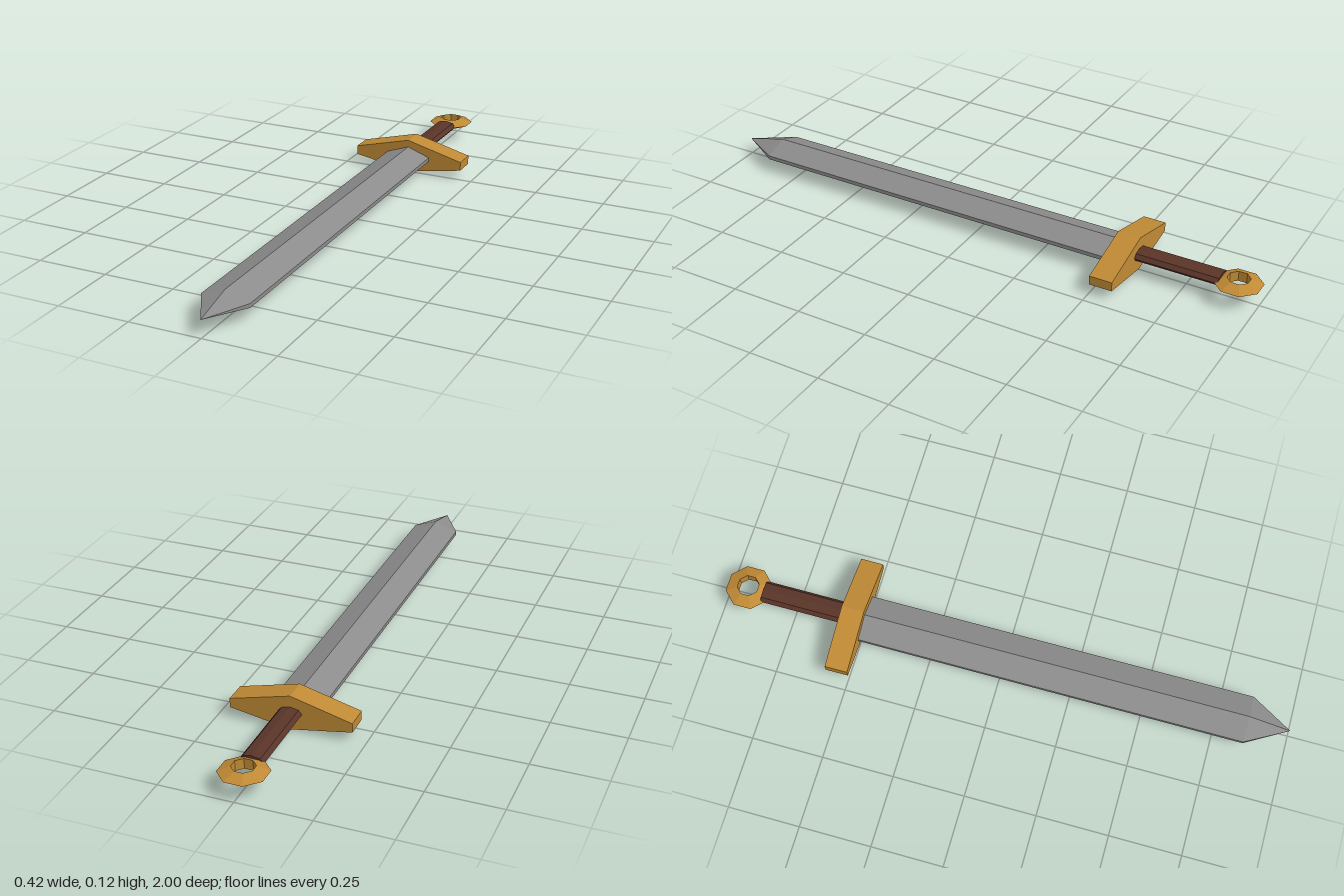
import * as THREE from 'three';

const MID = 0.061; // height of the sword's long axis

function material(color) {
  return new THREE.MeshStandardMaterial({ color, flatShading: true });
}

function addMesh(group, name, geometry, mat) {
  const mesh = new THREE.Mesh(geometry, mat);
  mesh.name = name;
  group.add(mesh);
  return mesh;
}

// Joins equal-length counter-clockwise [x, y] sections, given from back to front, and caps both ends
function loft(sections) {
  const pos = [];
  const tri = (a, b, c) => pos.push(...a, ...b, ...c);
  const rings = sections.map(({ z, points }) => points.map(([x, y]) => [x, y, z]));
  const n = rings[0].length;
  for (let s = 0; s < rings.length - 1; s++) {
    for (let i = 0; i < n; i++) {
      const j = (i + 1) % n;
      const a = rings[s], b = rings[s + 1];
      tri(a[i], a[j], b[j]);
      tri(a[i], b[j], b[i]);
    }
  }
  const back = rings[0], front = rings[rings.length - 1];
  for (let i = 1; i < n - 1; i++) {
    tri(back[0], back[i + 1], back[i]);
    tri(front[0], front[i], front[i + 1]);
  }
  const geometry = new THREE.BufferGeometry();
  geometry.setAttribute('position', new THREE.Float32BufferAttribute(pos, 3));
  geometry.computeVertexNormals();
  return geometry;
}

// Six-sided lozenge with blunt left and right ends
function lozenge(halfWidth, top, bottom, edgeTop, edgeBottom) {
  return [
    [0, top], [-halfWidth, edgeTop], [-halfWidth, edgeBottom],
    [0, bottom], [halfWidth, edgeBottom], [halfWidth, edgeTop],
  ];
}

export function createModel() {
  const sword = new THREE.Group();
  sword.name = 'sword';
  const steel = material(0x8c8c8c);
  const brass = material(0xc08a35);
  const leather = material(0x5a3428);

  // Blade: straight ridged body running into a point
  const section = lozenge(0.083, 0.096, 0.028, 0.066, 0.052);
  const point = section.map(() => [0, 0.06]);
  addMesh(sword, 'blade', loft([
    { z: -0.52, points: section },
    { z: 0.855, points: section },
    { z: 1, points: point },
  ]), steel);

  // Crossguard
  const guard = lozenge(0.208, 0.122, 0, 0.068, 0.036);
  addMesh(sword, 'crossguard', loft([
    { z: -0.58, points: guard },
    { z: -0.5, points: guard },
  ]), brass);

  // Grip: flattened eight-sided rod
  const grip = new THREE.CylinderGeometry(0.04, 0.04, 0.31, 8);
  grip.rotateX(Math.PI / 2);
  grip.scale(1, 0.48, 1);
  addMesh(sword, 'grip', grip, leather).position.set(0, MID + 0.002, -0.715);

  // Pommel: eight-sided ring, thick at the hole and sharp at the rim
  const ring = new THREE.TorusGeometry(0.0525, 0.0287, 3, 8);
  ring.rotateZ(Math.PI / 8);
  ring.rotateX(Math.PI / 2);
  ring.scale(1, 0.72, 1);
  addMesh(sword, 'pommelRing', ring, brass).position.set(0, MID + 0.002, -0.925);

  return sword;
}
